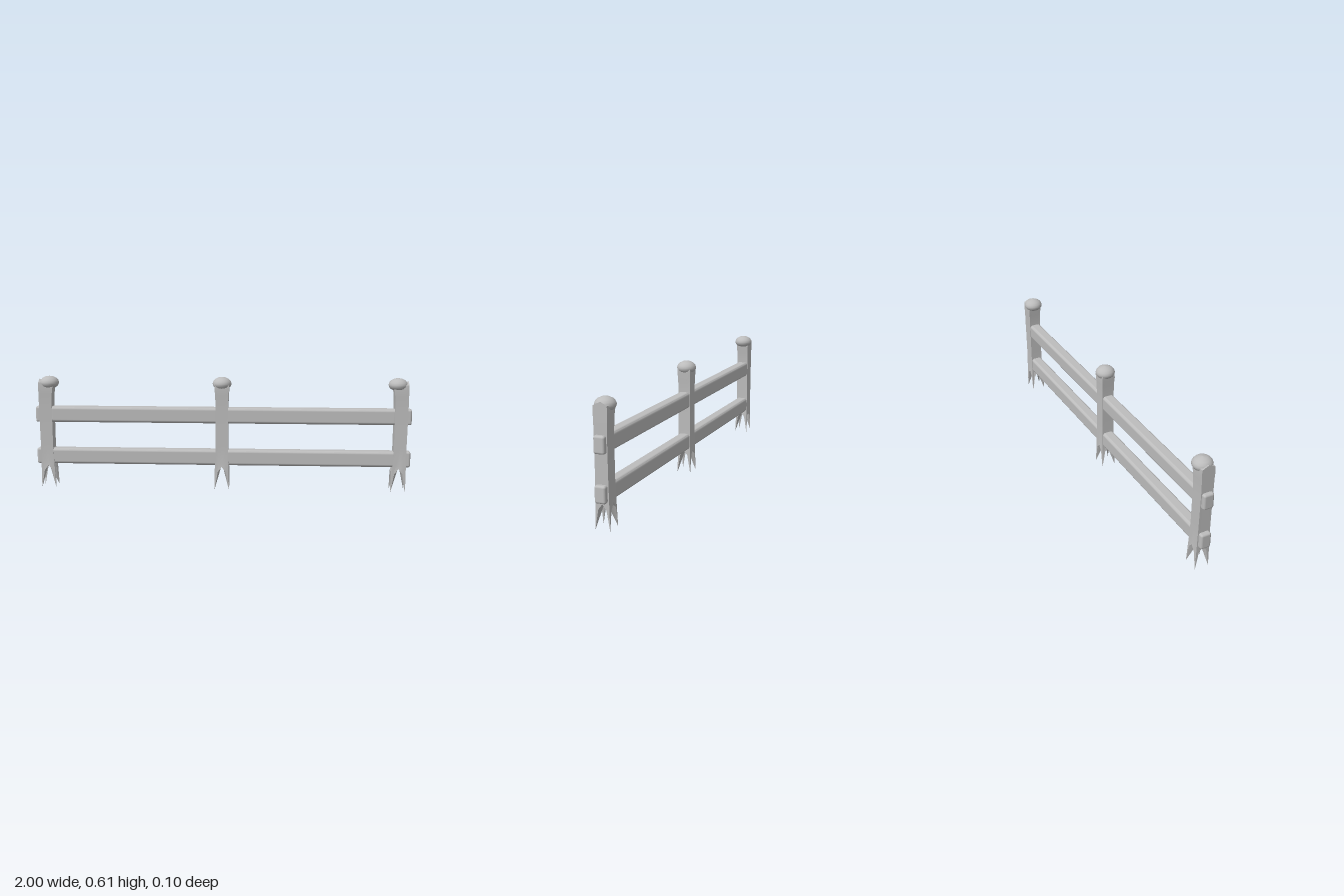
import * as THREE from 'three';
import { RoundedBoxGeometry } from 'three/addons/geometries/RoundedBoxGeometry.js';
import { toCreasedNormals } from 'three/addons/utils/BufferGeometryUtils.js';

const material = new THREE.MeshStandardMaterial({ color: 0xbcbcbc, side: THREE.DoubleSide });
material.name = 'weathered grey';

// Walk round a square: unit positions, plus distance t (-1..1) along each side
const STEPS = [-1, -0.55, 0, 0.55];
const outline = [];
for (const t of STEPS) outline.push([t, 1, t]);
for (const t of STEPS) outline.push([1, -t, t]);
for (const t of STEPS) outline.push([-t, -1, t]);
for (const t of STEPS) outline.push([-1, t, t]);

// Height of the jagged foot: spikes at the corners, a notch in each side
const footHeight = (t) => (t === 0 ? 0.125 : Math.abs(t) < 1 ? 0.098 : 0);

// Square post with a splintered foot; outer = +1 or -1 gives an end post with
// a straight, raised outer face, and 0 gives the symmetrical middle post
function postGeometry(outer) {
  // level height, half width, half depth, shift away from the outer face
  const levels = [
    [null, 0.039, 0.037, 0.006],
    [0.14, 0.035, 0.0345, 0.002],
    [0.24, 0.033, 0.0325, 0],
    [0.44, 0.033, 0.0325, 0],
    [0.51, 0.035, 0.0335, 0],
    [0.548, 0.039, 0.036, 0.002],
    [0.568, 0.039, 0.034, 0.002],
  ];
  const pos = [], index = [], n = outline.length;
  levels.forEach(([y, w, d, shift], row) => {
    for (const [u, v, t] of outline) {
      let x = u * w - outer * shift;
      let h = y === null ? footHeight(t) : y;
      if (outer && row >= 3 && u * outer === 1) x = outer * 0.036;
      if (outer && row === levels.length - 1 && u * outer > 0.5) {
        h = 0.573 + 0.017 * (1 - Math.abs(v)) * u * outer;
      }
      pos.push(x, h, v * d);
    }
  });
  pos.push(0, 0.135, 0, 0, 0.58, 0);
  const bottom = n * levels.length, top = bottom + 1, last = n * (levels.length - 1);
  for (let i = 0; i < n; i++) {
    const j = (i + 1) % n;
    for (let r = 0; r < levels.length - 1; r++) {
      const a = r * n + i, b = r * n + j;
      index.push(a, b, b + n, a, b + n, a + n);
    }
    index.push(bottom, j, i, top, last + i, last + j);
  }
  const geo = new THREE.BufferGeometry();
  geo.setAttribute('position', new THREE.Float32BufferAttribute(pos, 3));
  geo.setIndex(index);
  return toCreasedNormals(geo, 0.7);
}

// Rounded mushroom cap
function capGeometry() {
  const profile = [
    [0, 0.546], [0.034, 0.546], [0.043, 0.553], [0.049, 0.563], [0.05, 0.573],
    [0.046, 0.584], [0.036, 0.595], [0.02, 0.603], [0, 0.606],
  ].map(([x, y]) => new THREE.Vector2(x, y));
  return new THREE.LatheGeometry(profile, 24);
}

// Rounded rail, swelling slightly between the posts
function railGeometry() {
  const geo = new RoundedBoxGeometry(2, 0.084, 0.056, 3, 0.011);
  return geo;
}

export function createModel() {
  const group = new THREE.Group();
  group.name = 'fence';
  const add = (name, geo, x, y, parent = group) => {
    const mesh = new THREE.Mesh(geo, material);
    mesh.name = name;
    mesh.position.set(x, y, 0);
    parent.add(mesh);
    return mesh;
  };

  // Posts and their caps
  const cap = capGeometry();
  for (const [side, label] of [[-1, 'right'], [0, 'middle'], [1, 'left']]) {
    const post = new THREE.Group();
    post.name = label + 'Post';
    add('postBody', postGeometry(side), side * 0.943, 0, post);
    add('postCap', cap, side * 0.925, 0, post);
    group.add(post);
  }

  // Two rails, each with a fuller stretch between the end posts
  const rail = railGeometry();
  const swell = new RoundedBoxGeometry(1.84, 0.08, 0.062, 3, 0.013);
  for (const [label, y] of [['lower', 0.174], ['upper', 0.401]]) {
    add(label + 'Rail', rail, 0, y);
    add(label + 'RailMiddle', swell, 0, y);
  }
  return group;
}
